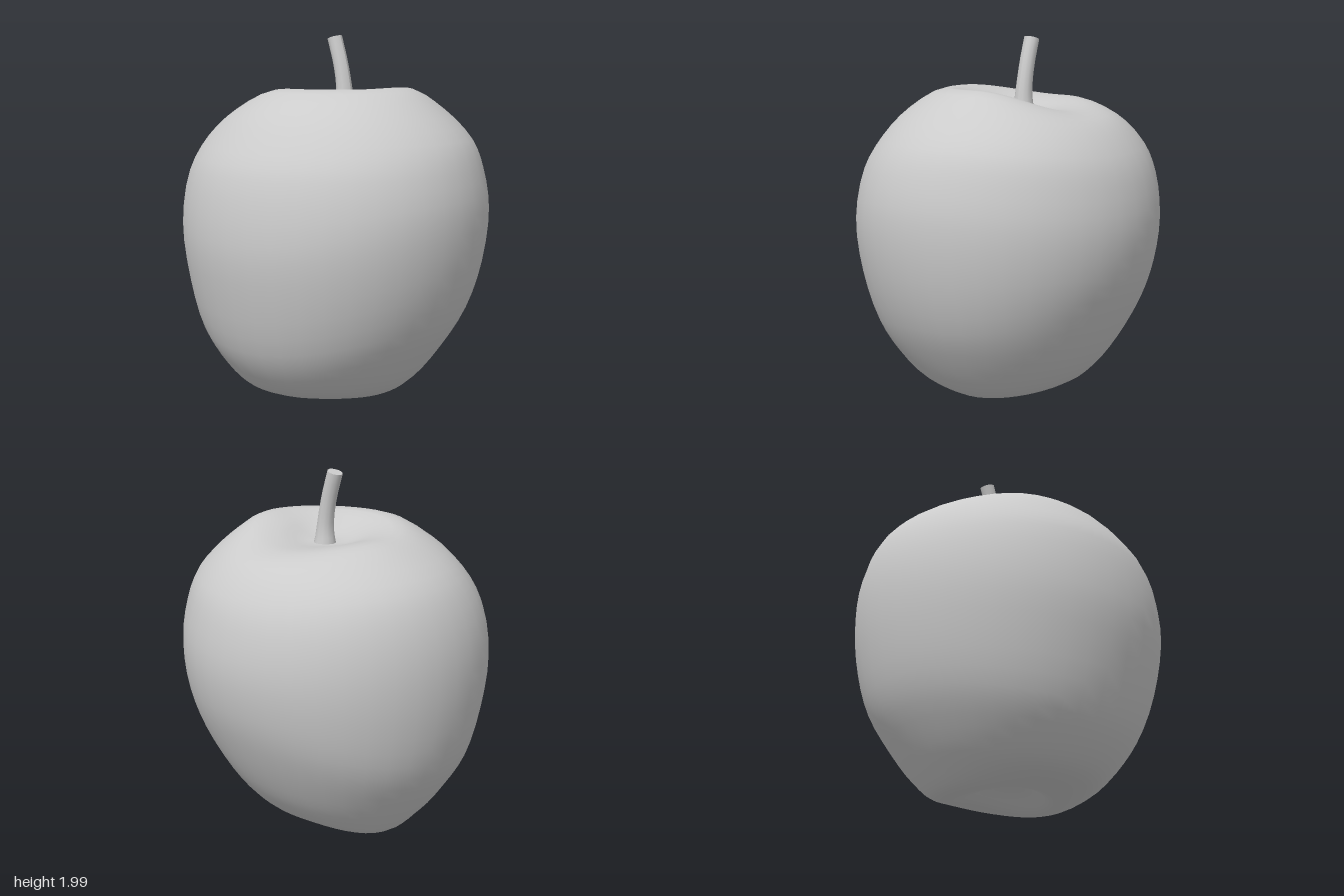
import * as THREE from 'three';
import { mergeVertices } from 'three/addons/utils/BufferGeometryUtils.js';

const material = new THREE.MeshStandardMaterial({ color: 0xcccccc, roughness: 0.8 });

// Rings from the stem hollow over the shoulder to the base hollow.
// Each: left x, y, right x, y, front z, y, back z, y
const RINGS = [
  [0.09, 1.60, 0.09, 1.60, 0.00, 1.60, 0.00, 1.60],
  [0.20, 1.60, -0.03, 1.61, 0.12, 1.62, -0.13, 1.60],
  [0.33, 1.61, -0.16, 1.66, 0.25, 1.69, -0.27, 1.64],
  [0.46, 1.605, -0.32, 1.72, 0.41, 1.725, -0.42, 1.655],
  [0.61, 1.55, -0.53, 1.61, 0.58, 1.62, -0.57, 1.59],
  [0.74, 1.40, -0.67, 1.46, 0.75, 1.45, -0.74, 1.45],
  [0.80, 1.25, -0.78, 1.28, 0.82, 1.30, -0.83, 1.25],
  [0.83, 1.03, -0.835, 0.95, 0.86, 1.08, -0.86, 1.00],
  [0.80, 0.80, -0.80, 0.65, 0.83, 0.78, -0.83, 0.70],
  [0.73, 0.60, -0.72, 0.36, 0.74, 0.50, -0.76, 0.45],
  [0.60, 0.35, -0.62, 0.20, 0.62, 0.30, -0.64, 0.25],
  [0.47, 0.18, -0.50, 0.09, 0.48, 0.13, -0.53, 0.11],
  [0.34, 0.08, -0.34, 0.05, 0.36, 0.05, -0.42, 0.01],
  [0.20, 0.06, -0.22, 0.05, 0.24, 0.03, -0.28, 0.02],
  [0.09, 0.11, -0.12, 0.11, 0.11, 0.10, -0.14, 0.09],
  [0.00, 0.14, 0.00, 0.14, -0.02, 0.14, -0.02, 0.14],
];

// Point on a ring, blending the four side heights around the turn
function ringPoint([lx, ly, rx, ry, fz, fy, bz, by], angle) {
  const c = Math.cos(angle), s = Math.sin(angle);
  return new THREE.Vector3(
    (lx + rx) / 2 + c * (lx - rx) / 2,
    c * c * (c > 0 ? ly : ry) + s * s * (s > 0 ? fy : by),
    (fz + bz) / 2 + s * (fz - bz) / 2,
  );
}

// Lopsided fruit: one smooth profile curve per angle, joined into a skin
function createBody() {
  const around = 40, down = 45, positions = [], index = [];
  for (let i = 0; i < around; i++) {
    const angle = (i / around) * Math.PI * 2;
    const profile = new THREE.CatmullRomCurve3(RINGS.map((ring) => ringPoint(ring, angle)));
    for (let j = 0; j <= down; j++) {
      // the poles are shared by every profile
      const p = j === 0 ? ringPoint(RINGS[0], 0)
        : j === down ? ringPoint(RINGS[RINGS.length - 1], 0) : profile.getPoint(j / down);
      positions.push(p.x, p.y, p.z);
    }
  }
  for (let i = 0; i < around; i++) {
    for (let j = 0; j < down; j++) {
      const a = i * (down + 1) + j, b = ((i + 1) % around) * (down + 1) + j;
      if (j > 0) index.push(a, b, a + 1);
      if (j < down - 1) index.push(b, b + 1, a + 1);
    }
  }
  let geometry = new THREE.BufferGeometry();
  geometry.setAttribute('position', new THREE.Float32BufferAttribute(positions, 3));
  geometry.setIndex(index);
  geometry = mergeVertices(geometry, 1e-5);
  geometry.computeVertexNormals();
  const body = new THREE.Mesh(geometry, material);
  body.name = 'fruitBody';
  return body;
}

// Stem: a capped cylinder bent along a curve and flared at its foot
function createStem() {
  const path = new THREE.CatmullRomCurve3([
    new THREE.Vector3(0.09, 1.59, -0.01),
    new THREE.Vector3(0.09, 1.70, -0.014),
    new THREE.Vector3(0.09, 1.84, -0.04),
    new THREE.Vector3(0.09, 1.985, -0.085),
  ]);
  const geometry = new THREE.CylinderGeometry(0.042, 0.042, 1, 12, 8);
  const pos = geometry.attributes.position;
  for (let i = 0; i < pos.count; i++) {
    const t = pos.getY(i) + 0.5;
    const p = path.getPoint(t), tangent = path.getTangent(t);
    const flare = 1 + 0.5 * Math.pow(1 - t, 4);
    const x = pos.getX(i) * flare, z = pos.getZ(i) * flare;
    pos.setXYZ(i, p.x + x, p.y - z * tangent.z, p.z + z * tangent.y);
  }
  geometry.computeVertexNormals();
  const stem = new THREE.Mesh(geometry, material);
  stem.name = 'stem';
  return stem;
}

export function createModel() {
  const model = new THREE.Group();
  model.name = 'apple';
  model.add(createBody(), createStem());
  return model;
}
